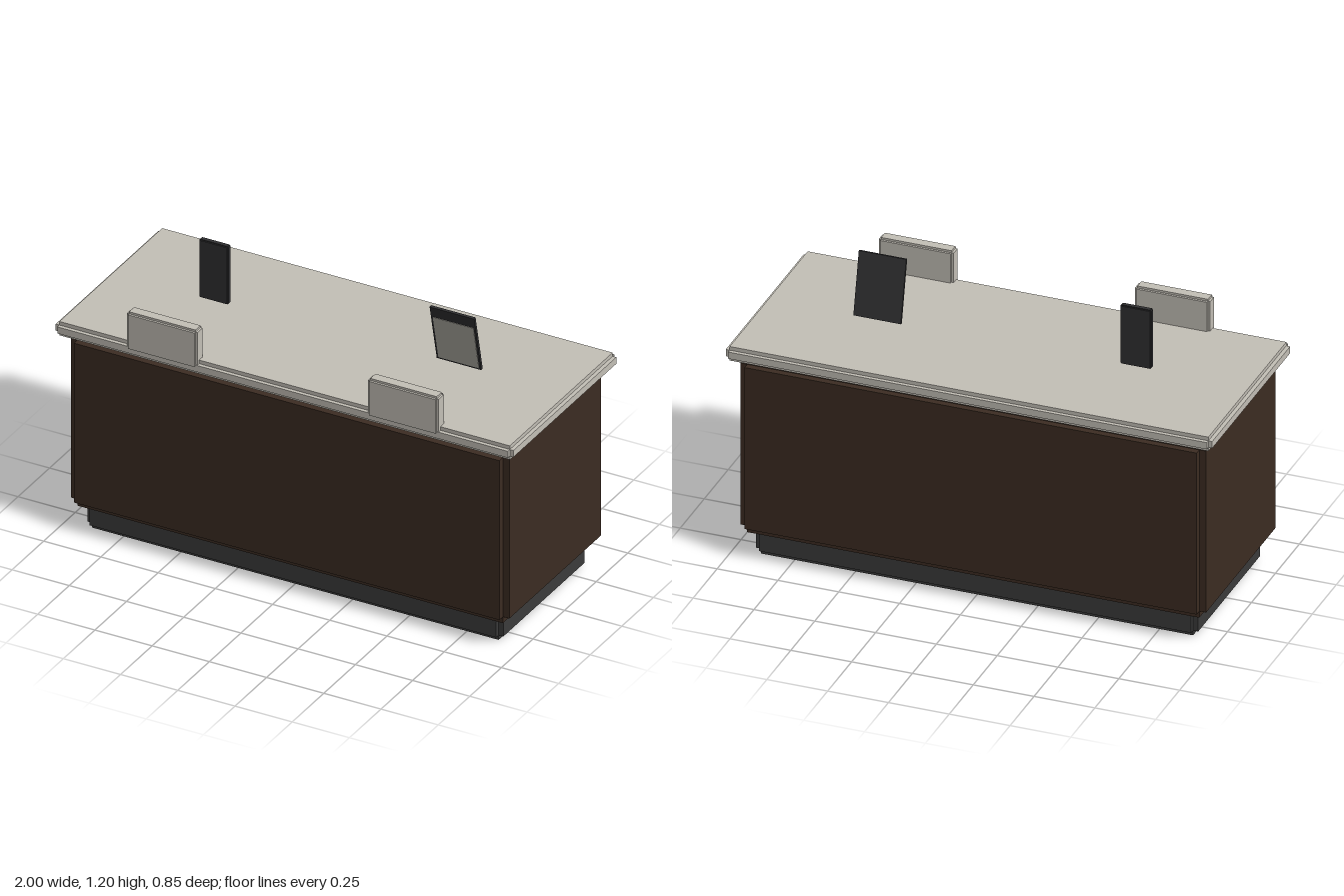
import * as THREE from 'three';
import { mergeGeometries } from 'three/addons/utils/BufferGeometryUtils.js';

const mat = (name, color) => {
  const m = new THREE.MeshStandardMaterial({ color });
  m.name = name;
  return m;
};

// Box with a square notch of size b along every edge: three crossing boxes
function notchedBox(w, h, d, b) {
  const c = 2 * b;
  return mergeGeometries([
    new THREE.BoxGeometry(w, h - c, d - c),
    new THREE.BoxGeometry(w - c, h, d - c),
    new THREE.BoxGeometry(w - c, h - c, d),
  ]);
}

export function createModel() {
  const stone = mat('stone', 0xc4c0b7);
  const wood = mat('dark wood', 0x3c2c22);
  const plinth = mat('plinth grey', 0x3b3b3b);
  const casing = mat('device black', 0x303032);
  const glass = mat('screen grey', 0xb4b2a8);

  const model = new THREE.Group();
  model.name = 'counter';
  const add = (name, geometry, material, x, y, z, parent = model) => {
    const mesh = new THREE.Mesh(geometry, material);
    mesh.name = name;
    mesh.position.set(x, y, z);
    parent.add(mesh);
    return mesh;
  };

  // Counter body, stacked from the floor up
  const z = -0.0025;
  add('kickBase', notchedBox(1.818, 0.13, 0.686, 0.021), plinth, 0, 0.065, z);
  add('cabinet', notchedBox(1.915, 0.76, 0.782, 0.028), wood, 0, 0.486, z);
  add('worktop', notchedBox(2, 0.061, 0.846, 0.016), stone, 0, 0.8965, z);

  // Upright screens along the front edge
  for (const [side, name] of [[-1, 'rightFrontPanel'], [1, 'leftFrontPanel']]) {
    add(name, notchedBox(0.308, 0.168, 0.058, 0.009), stone, side * 0.527, 0.98, 0.398);
  }

  // Upright card terminal
  add('cardTerminal', notchedBox(0.127, 0.256, 0.025, 0.004), casing, -0.53, 1.071, -0.004);

  // Tablet leaning forward, with a thin screen plate on its front
  const tablet = new THREE.Group();
  tablet.name = 'tablet';
  tablet.position.set(0.525, 1.071, z);
  tablet.rotation.x = 0.22;
  model.add(tablet);
  add('tabletCase', new THREE.BoxGeometry(0.195, 0.26, 0.011), casing, 0, 0, 0, tablet);
  add('tabletScreen', new THREE.BoxGeometry(0.177, 0.204, 0.003), glass, 0, -0.02, 0.006, tablet);

  return model;
}
